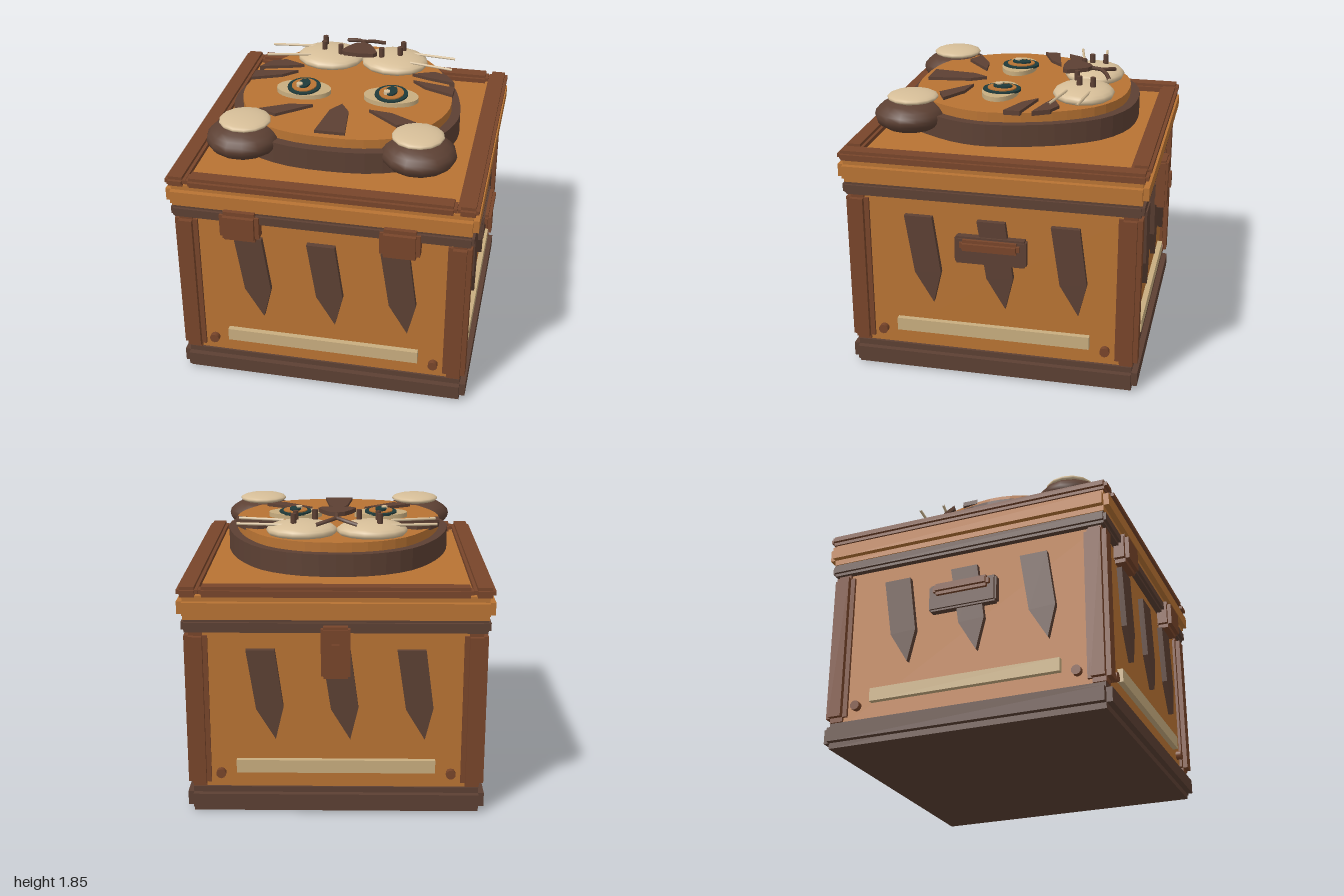
import * as THREE from 'three';

const mat = (name, color) => Object.assign(new THREE.MeshStandardMaterial({ color }), { name });
const orange = mat('copper orange', 0xb87333);
const dark = mat('dark brown', 0x5c4033);
const sienna = mat('reddish brown', 0x78452a);
const cream = mat('cream', 0xc8ad7f);
const pale = mat('pale cream', 0xd6be98);
const teal = mat('dark teal', 0x1f3a3a);

export function createModel() {
  const root = new THREE.Group();
  root.name = 'tigerChest';
  const CZ = 0.015; // chest centre along z

  const add = (parent, name, geo, m, x = 0, y = 0, z = 0) => {
    const mesh = new THREE.Mesh(geo, m);
    mesh.name = name;
    mesh.position.set(x, y, z);
    parent.add(mesh);
    return mesh;
  };

  // Block with stepped edges: three crossing boxes
  const block = (parent, name, m, w, h, d, x, y, z, b) => {
    const g = new THREE.Group();
    g.name = name;
    g.position.set(x, y, z);
    parent.add(g);
    const c = 2 * b;
    [[w, h - c, d - c], [w - c, h, d - c], [w - c, h - c, d]].forEach((s, i) =>
      add(g, name + 'Layer' + (i + 1), new THREE.BoxGeometry(...s), m));
    return g;
  };

  const prism = (shape, depth, curveSegments = 8) =>
    new THREE.ExtrudeGeometry(shape, { depth, bevelEnabled: false, curveSegments });
  const poly = pts => new THREE.Shape(pts.map(p => new THREE.Vector2(...p)));
  // Plate lying flat, drawn from [x, z] points, standing on height y
  const flat = (name, pts, y, h, m) =>
    add(root, name, prism(poly(pts.map(([x, z]) => [x, -z])), h).rotateX(-Math.PI / 2), m, 0, y, 0);
  const disc = (name, m, x, z, rx, rz, y0, y1, n = 24) =>
    add(root, name, new THREE.CylinderGeometry(1, 1, y1 - y0, n).scale(rx, 1, rz), m, x, (y0 + y1) / 2, z);
  const blob = (name, m, x, y, z, rx, ry, rz) =>
    add(root, name, new THREE.SphereGeometry(1, 14, 12).scale(rx, ry, rz), m, x, y, z);

  // Chest body
  block(root, 'base', dark, 1.88, 0.165, 1.87, 0, 0.0825, CZ, 0.037);
  add(root, 'body', new THREE.BoxGeometry(1.77, 1.1, 1.77), orange, 0, 0.65, CZ);
  for (const sx of [-1, 1]) for (const sz of [-1, 1])
    block(root, 'cornerPost', sienna, 0.145, 1.03, 0.145, sx * 0.86, 0.685, CZ + sz * 0.86, 0.03);
  block(root, 'rimBand', dark, 1.885, 0.085, 1.885, 0, 1.24, CZ, 0.018);

  // Decoration on each of the four walls
  const stripe = [[-0.088, 1.083], [0.09, 1.083], [0.14, 0.71], [0.09, 0.5], [-0.03, 0.7]];
  ['front', 'left', 'back', 'right'].forEach((side, i) => {
    const wall = new THREE.Group();
    wall.name = side + 'Wall';
    wall.position.z = CZ;
    wall.rotation.y = i * Math.PI / 2;
    root.add(wall);
    for (const x of [-0.465, 0, 0.465])
      add(wall, 'bodyStripe', prism(poly(stripe), 0.04), dark, x, 0, 0.88);
    add(wall, 'creamBar', new THREE.BoxGeometry(1.25, 0.085, 0.04), cream, 0, 0.313, 0.9);
    for (const x of [-0.725, 0.725])
      add(wall, 'rivet', new THREE.CylinderGeometry(0.031, 0.031, 0.04, 10).rotateX(Math.PI / 2), sienna, x, 0.26, 0.9);
    if (i % 2) {
      block(wall, 'handlePlate', dark, 0.455, 0.18, 0.07, 0, 0.89, 0.91, 0.012);
      block(wall, 'handleGrip', sienna, 0.38, 0.075, 0.06, 0, 0.935, 0.955, 0.02);
    }
  });

  // Lid and raised frame
  block(root, 'lid', orange, 1.93, 0.15, 1.93, 0, 1.355, CZ, 0.035);
  for (const s of [-1, 1]) {
    block(root, 'lidSideRail', sienna, 0.13, 0.065, 1.92, s * 0.897, 1.457, CZ, 0.02);
    block(root, 'lidCrossRail', sienna, 1.66, 0.065, 0.125, 0, 1.457, CZ + s * 0.9, 0.02);
  }

  // Hinges and latch
  for (const s of [-1, 1])
    block(root, 'hinge', sienna, 0.25, 0.2, 0.12, s * 0.5, 1.188, 0.94, 0.026);
  block(root, 'latch', sienna, 0.18, 0.33, 0.08, 0, 1.087, -0.942, 0.015);
  add(root, 'latchKnob', new THREE.BoxGeometry(0.05, 0.1, 0.04), sienna, 0, 1.1, -0.98);

  // Tiger head outline, mirrored and smoothed
  const half = [[0.25, -0.725], [0.46, -0.6], [0.6, -0.4], [0.69, -0.17], [0.735, 0.09],
    [0.71, 0.27], [0.62, 0.46], [0.5, 0.62], [0.28, 0.715]];
  const outline = k => {
    const loop = [[0, -0.76], ...half, [0, 0.74], ...half.map(([x, z]) => [-x, z]).reverse()];
    const curve = new THREE.CatmullRomCurve3(loop.map(([x, z]) => new THREE.Vector3(x * k, 0, (z + 0.01) * k - 0.01)), true);
    return curve.getPoints(48).slice(0, -1).map(p => [p.x, p.z]);
  };
  flat('headRim', outline(1), 1.51, 0.14, dark);
  flat('face', outline(0.92), 1.64, 0.07, orange);

  for (const s of [-1, 1]) {
    const mirror = pts => pts.map(([x, z]) => [s * x, z]);

    // Ears
    blob('ear', dark, s * 0.55, 1.627, 0.615, 0.232, 0.11, 0.228);
    blob('innerEar', pale, s * 0.54, 1.738, 0.602, 0.162, 0.034, 0.162);

    // Eyes, built up in layers
    const ex = s * 0.287;
    disc('eyeWhite', cream, ex, 0.095, 0.178, 0.115, 1.70, 1.74);
    disc('eyeRing', teal, ex, 0.085, 0.107, 0.122, 1.735, 1.75);
    disc('iris', orange, ex, 0.085, 0.08, 0.093, 1.74, 1.757);
    disc('pupil', teal, ex, 0.08, 0.037, 0.062, 1.75, 1.768);
    disc('eyeGlint', pale, ex - 0.025, 0.11, 0.021, 0.024, 1.75, 1.776, 12);

    // Face stripes
    flat('browStripe', mirror([[0.18, 0.3], [0.33, 0.32], [0.5, 0.415], [0.385, 0.472]]), 1.70, 0.03, dark);
    flat('cheekStripe', mirror([[0.39, -0.175], [0.48, -0.09], [0.67, -0.01], [0.67, -0.115]]), 1.70, 0.03, dark);
    flat('jawStripe', mirror([[0.37, -0.27], [0.47, -0.235], [0.66, -0.185], [0.6, -0.29], [0.51, -0.33]]), 1.70, 0.03, dark);

    // Muzzle, freckles and whiskers
    blob('muzzle', pale, s * 0.222, 1.733, -0.435, 0.226, 0.062, 0.197);
    for (const [x, z] of [[0.27, -0.5], [0.26, -0.412], [0.14, -0.377]])
      disc('freckle', dark, s * x, z, 0.018, 0.018, 1.775, 1.85, 8);
    for (const [z0, z1] of [[-0.49, -0.458], [-0.345, -0.285]]) {
      const path = new THREE.LineCurve3(new THREE.Vector3(s * 0.34, 1.775, z0), new THREE.Vector3(s * 0.63, 1.775, z1));
      add(root, 'whisker', new THREE.TubeGeometry(path, 1, 0.009, 6), pale);
    }

    // Mouth branch
    const lip = new THREE.CatmullRomCurve3([[0, 1.825, -0.51], [s * 0.05, 1.815, -0.55], [s * 0.13, 1.795, -0.583]]
      .map(p => new THREE.Vector3(...p)));
    add(root, 'mouthBranch', new THREE.TubeGeometry(lip, 6, 0.013, 6), dark);
  }
  const philtrum = new THREE.LineCurve3(new THREE.Vector3(0, 1.835, -0.43), new THREE.Vector3(0, 1.825, -0.52));
  add(root, 'mouthCentre', new THREE.TubeGeometry(philtrum, 1, 0.013, 6), dark);

  // Nose and forehead stripe
  flat('nose', [[0, -0.455], [0.05, -0.43], [0.09, -0.37], [0.12, -0.305], [0.1, -0.275], [0, -0.265],
    [-0.1, -0.275], [-0.12, -0.305], [-0.09, -0.37], [-0.05, -0.43]], 1.82, 0.027, dark);
  flat('foreheadStripe', [[0, 0.255], [0.06, 0.35], [0.095, 0.635], [-0.095, 0.635], [-0.06, 0.35]], 1.70, 0.03, dark);

  return root;
}
